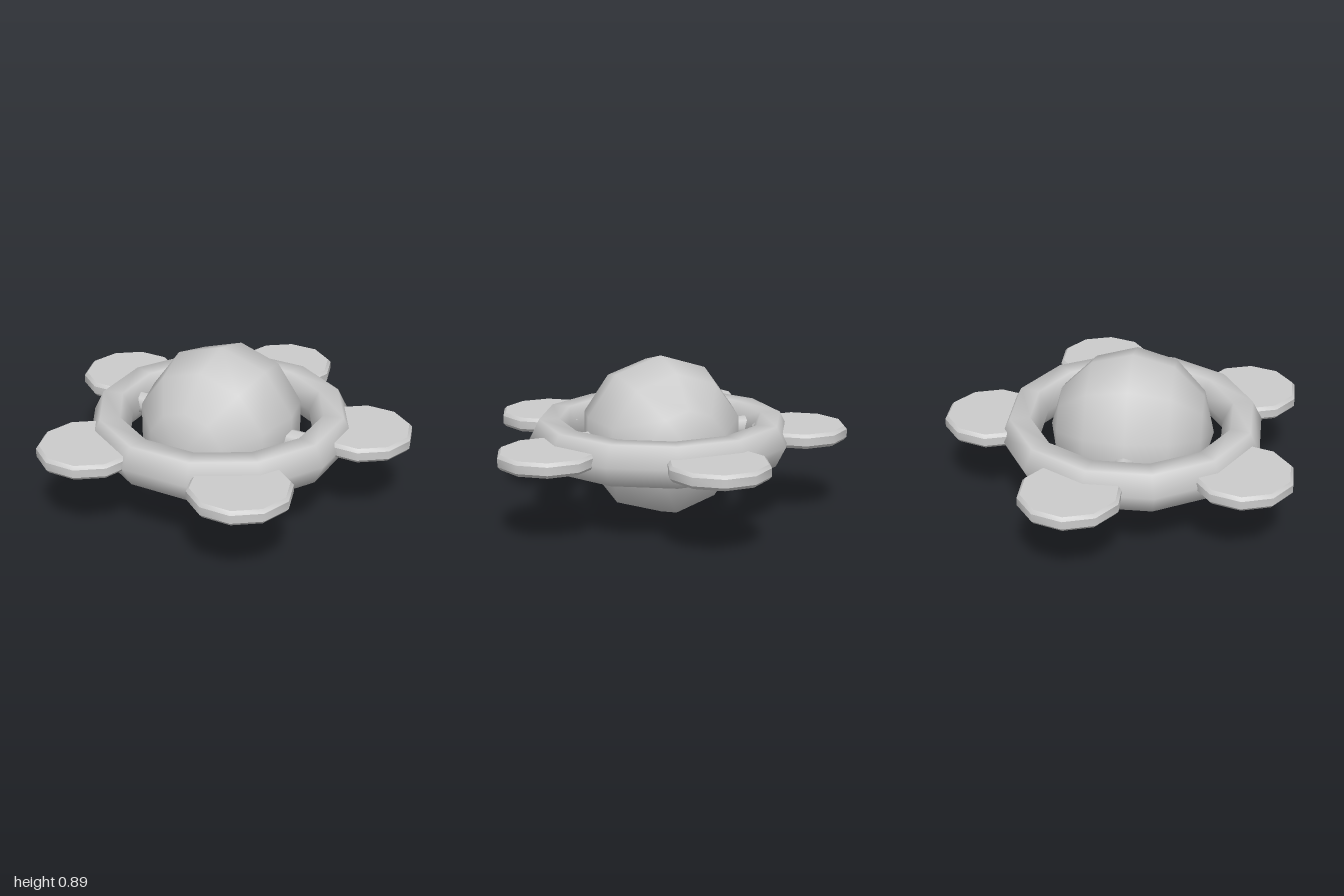
import * as THREE from 'three';
import { toCreasedNormals } from 'three/addons/utils/BufferGeometryUtils.js';

const MID_Y = 0.45;
const MID_Z = 0.07;

export function createModel() {
  const model = new THREE.Group();
  const material = new THREE.MeshStandardMaterial({ color: 0xcccccc });

  const add = (name, geometry, y = MID_Y) => {
    const mesh = new THREE.Mesh(geometry, material);
    mesh.name = name;
    mesh.position.set(0, y, MID_Z);
    model.add(mesh);
    return mesh;
  };

  // Central ball, its poles facing front and back
  const ball = new THREE.SphereGeometry(0.447, 10, 6, Math.PI / 2);
  ball.rotateX(Math.PI / 2);
  add('ball', ball);

  // Twelve-sided ring with a hexagonal section, slightly taller than wide
  const ring = new THREE.TorusGeometry(0.615, 0.11, 6, 12);
  ring.rotateZ(Math.PI / 12);
  ring.rotateX(Math.PI / 2);
  ring.scale(1, 1.155, 1);
  add('ring', ring);

  // Axle joining the ball to both sides of the ring
  const axle = new THREE.CylinderGeometry(0.06, 0.06, 1.06, 8);
  axle.rotateZ(Math.PI / 2);
  add('axle', axle);

  // Five flat ten-sided petals with bevelled rims, the first pointing back
  const profile = [[0, -0.04], [0.254, -0.04], [0.27, -0.022], [0.27, 0.022], [0.254, 0.04], [0, 0.04]]
    .map(([r, y]) => new THREE.Vector2(r, y));
  const petal = toCreasedNormals(new THREE.LatheGeometry(profile, 10, Math.PI / 10), 0.7);
  petal.translate(0, 0, -0.77);
  for (let i = 0; i < 5; i++) {
    add(`petal${i + 1}`, petal, 0.46).rotation.y = (i * Math.PI * 2) / 5;
  }

  return model;
}
